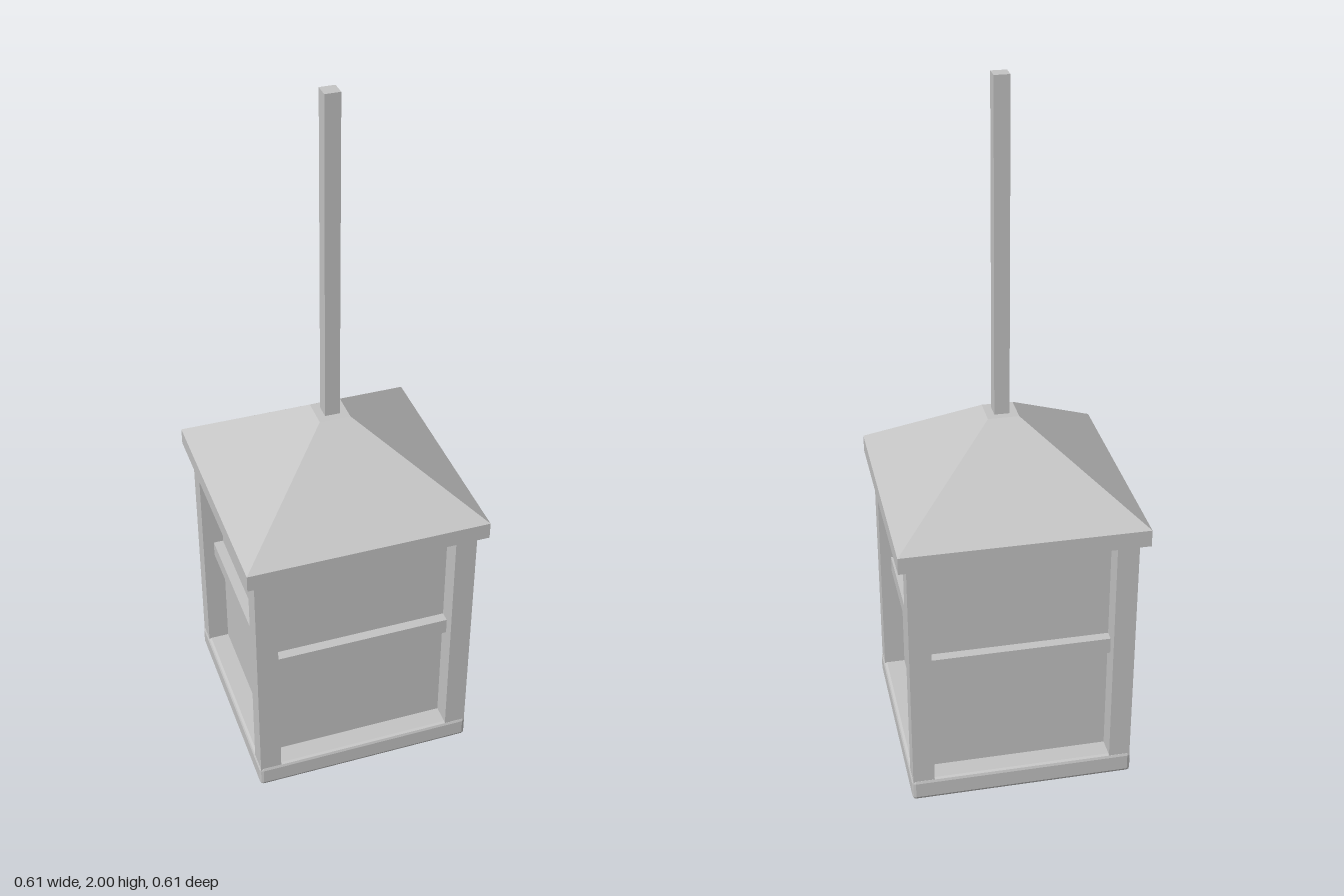
import * as THREE from 'three';
import { RoundedBoxGeometry } from 'three/addons/geometries/RoundedBoxGeometry.js';

export function createModel() {
  const model = new THREE.Group();
  model.name = 'hangingLantern';
  const metal = new THREE.MeshStandardMaterial({ color: 0xc4c4c4, flatShading: true });
  metal.name = 'grey';

  function add(name, geometry, x = 0, y = 0, z = 0, parent = model) {
    const mesh = new THREE.Mesh(geometry, metal);
    mesh.name = name;
    mesh.position.set(x, y, z);
    parent.add(mesh);
    return mesh;
  }
  // box given by its bottom and top heights
  const block = (name, w, y0, y1, d, x = 0, z = 0, parent = model) =>
    add(name, new THREE.BoxGeometry(w, y1 - y0, d), x, (y0 + y1) / 2, z, parent);
  // faceted turned shape from [radius, height] pairs, bottom to top
  const turned = (name, profile, sides, phi) =>
    add(name, new THREE.LatheGeometry(profile.map(([r, y]) => new THREE.Vector2(r, y)), sides, phi));

  // Hexagonal finial under the base
  turned('finial', [[0, 0], [0.015, 0], [0.063, 0.083], [0.037, 0.148], [0.108, 0.219], [0, 0.219]], 6, Math.PI / 2);

  // Base plate with chamfered edges
  add('basePlate', new RoundedBoxGeometry(0.576, 0.06, 0.576, 1, 0.009), 0, 0.248, 0);

  // Pane box, corner posts and a crossbar on each side
  block('panes', 0.46, 0.27, 0.93, 0.46);
  for (const sx of [-1, 1]) {
    for (const sz of [-1, 1]) block('cornerPost', 0.055, 0.27, 0.93, 0.055, sx * 0.2575, sz * 0.2575);
  }
  for (let i = 0; i < 4; i++) {
    const side = new THREE.Group();
    side.name = 'crossbarSide';
    side.rotation.y = i * Math.PI / 2;
    block('crossbar', 0.46, 0.585, 0.628, 0.05, 0, 0.231, side);
    model.add(side);
  }

  // Square hipped roof with an eave band and a small flat cap
  const c = Math.SQRT2;
  turned('roof', [[0, 0.924], [0.307 * c, 0.924], [0.307 * c, 0.968], [0.039 * c, 1.167], [0, 1.167]], 4, Math.PI / 4);

  // Hanging rod
  block('hangingRod', 0.038, 1.16, 2, 0.038);

  return model;
}
